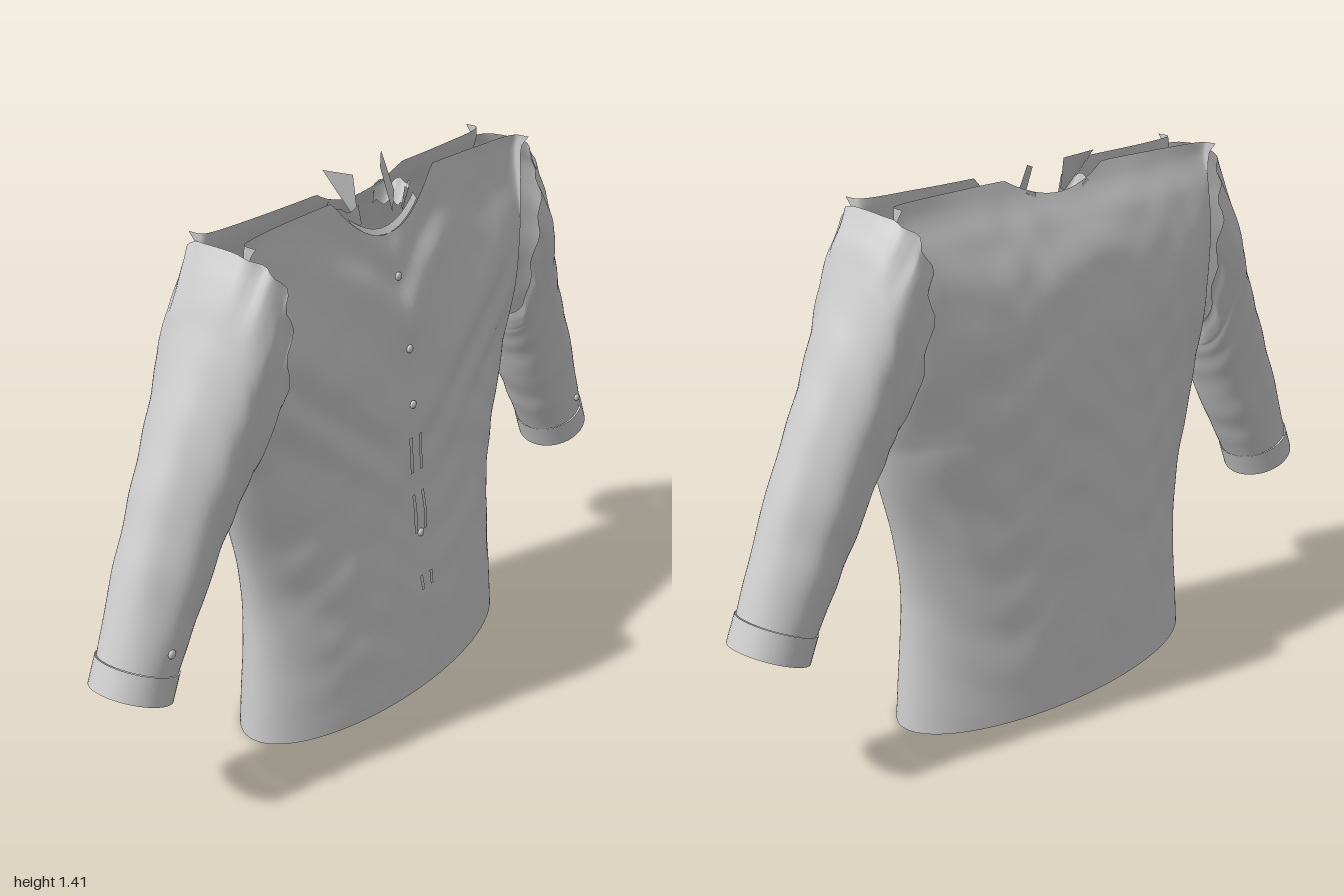
import * as THREE from 'three';

const cloth = new THREE.MeshStandardMaterial({ color: 0xcccccc, side: THREE.DoubleSide });
cloth.name = 'pale grey cloth';

// Smooth curve through [position, value] pairs
function track(p, t) {
  const n = p.length - 1;
  let i = 0;
  while (i < n - 1 && t > p[i + 1][0]) i++;
  const slope = k => {
    const a = p[Math.max(0, k - 1)], b = p[Math.min(n, k + 1)];
    return (b[1] - a[1]) / (b[0] - a[0]);
  };
  const h = p[i + 1][0] - p[i][0], s = THREE.MathUtils.clamp((t - p[i][0]) / h, 0, 1);
  const e = s * s * (3 - 2 * s);
  return p[i][1] * (1 - e) + p[i + 1][1] * e
    + h * s * (1 - s) * ((1 - s) * slope(i) - s * slope(i + 1));
}

// Surface from fn(u, v) -> [x, y, z]; closed wraps around in u
function surface(name, nu, nv, fn, closed = false) {
  const pos = [], idx = [], cols = closed ? nu : nu + 1;
  for (let j = 0; j <= nv; j++)
    for (let i = 0; i < cols; i++) pos.push(...fn(i / nu, j / nv));
  for (let j = 0; j < nv; j++)
    for (let i = 0; i < nu; i++) {
      const a = j * cols + i, b = j * cols + (i + 1) % cols;
      idx.push(a, b, a + cols, b, b + cols, a + cols);
    }
  const g = new THREE.BufferGeometry();
  g.setAttribute('position', new THREE.Float32BufferAttribute(pos, 3));
  g.setIndex(idx);
  g.computeVertexNormals();
  const m = new THREE.Mesh(g, cloth);
  m.name = name;
  return m;
}

// Soft irregular creases
const crumple = (x, y, k) =>
  Math.sin(x * 9 + y * 17 + k + 2.5 * Math.sin(y * 7 + x * 6)) * 0.5 +
  Math.sin(x * 23 - y * 29 + k * 2 + 2 * Math.sin(x * 11 + y * 5)) * 0.3 +
  Math.sin(x * 15 + y * 47 + 3 * Math.sin(x * 13 + k)) * 0.25;

const WIDTH = [[0, 0.5], [0.33, 0.48], [0.5, 0.502], [0.8, 0.573], [1.0, 0.54], [1.2, 0.535], [1.37, 0.543]];
const FRONT = [[0, 0.203], [0.2, 0.19], [0.35, 0.172], [0.5, 0.152], [0.8, 0.13], [1.0, 0.115], [1.15, 0.082], [1.25, 0.052], [1.37, 0.033]];
const BACK = [[0, 0.206], [0.3, 0.192], [0.6, 0.18], [1.0, 0.165], [1.15, 0.138], [1.25, 0.095], [1.32, 0.055], [1.37, 0.035]];
const EDGE = [[0, 0], [0.7, 0], [0.78, 0], [0.95, 0.07], [1.1, 0.09], [1.25, 0.085], [1.34, 0.08], [1.37, 0.1]];

// Depth of a panel: its centre profile bowed towards the side edge
function bowedZ(profile, u, y) {
  const e = Math.max(0, track(EDGE, y));
  const power = 0.5 - 0.36 * THREE.MathUtils.smoothstep(y, 0.9, 1.37);
  return e + (track(profile, y) - e) * Math.pow(Math.max(0, 1 - u * u), power);
}

function frontZ(x, y) {
  const u = Math.min(1, Math.abs(x) / track(WIDTH, y));
  const vMask = THREE.MathUtils.smoothstep(y, 0.55, 0.85) * (1 - THREE.MathUtils.smoothstep(y, 1.15, 1.35));
  const q = y - 0.85 * Math.abs(x);
  const folds = Math.sin(q * 27 + 1.2 * Math.sin(q * 11)) * 0.006 * vMask;
  const creases = crumple(x, y, 1) * 0.005 * (1 - vMask * 0.6) * Math.min(1, y * 4);
  const calm = 1 - 0.7 * THREE.MathUtils.smoothstep(y, 1.2, 1.35);
  return bowedZ(FRONT, u, y) + (folds + creases) * Math.min(1, (1 - u) * 5) * calm;
}

function backZ(x, y) {
  const u = Math.min(1, Math.abs(x) / track(WIDTH, y));
  const creases = crumple(x, y * 0.8 - x * 0.35, 4) * 0.005 * Math.min(1, y * 4) * Math.min(1, (1 - u) * 5);
  const calm = 1 - 0.7 * THREE.MathUtils.smoothstep(y, 1.2, 1.35);
  return -(bowedZ(BACK, u, y) + creases * calm);
}

// Body panel with a neck scoop in its straight shoulder edge
function panel(name, zAt, dir, neckWidth, neckDepth) {
  return surface(name, 90, 110, (a, v) => {
    const u = Math.sin((a - 0.5) * Math.PI) * dir;
    const n = Math.min(1, Math.abs(u * 0.543) / neckWidth);
    const y = v * (1.37 - neckDepth * (1 - n * n));
    const x = u * track(WIDTH, y);
    return [x, y, zAt(x, y)];
  });
}

// Sleeve sections: outer x, y, inner x, y, half depth
const SLEEVE = [
  [0.557, 1.355, 0.56, 0.85, 0.16],
  [0.603, 1.275, 0.578, 0.8, 0.16],
  [0.65, 1.17, 0.59, 0.77, 0.146],
  [0.73, 1.01, 0.625, 0.7, 0.13],
  [0.82, 0.83, 0.675, 0.6, 0.116],
  [0.9, 0.645, 0.735, 0.49, 0.106],
  [0.967, 0.475, 0.79, 0.395, 0.098],
];

function sleeve(s) {
  const n = SLEEVE.length - 1;
  return surface('sleeve', 64, 72, (a, v) => {
    const t = v * n, angle = a * Math.PI * 2 * s;
    const [ox, oy, ix, iy, d] = [0, 1, 2, 3, 4].map(k => track(SLEEVE.map((r, i) => [i, r[k]]), t));
    const c = Math.cos(angle), q = Math.sin(angle);
    // Lengthwise folds fade out at the cuff; the armhole edge is squarer and puckered inward
    const fade = Math.min(1, (1 - v) * 5);
    const fold = 1 + fade * (0.035 * Math.sin(angle * 5 * s + v * 3) + 0.03 * crumple(a * 0.3 * Math.sin(a * Math.PI), v, s + 2));
    const cap = Math.max(0, 1 - t / 1.6), upper = Math.max(0, 1 - t / 3);
    const pucker = cap * (0.055 * q * q + 0.012 * Math.sin(angle * 13) * Math.abs(q));
    const depth = Math.sign(q) * Math.pow(Math.abs(q), 1 - 0.3 * upper);
    // Fullness sits high on the shoulder
    const lift = 0.3 * upper * q * q;
    const x = (ox + ix) / 2 + (ox - ix) / 2 * c * (1 + (fold - 1) * 0.5) - pucker;
    const y = (oy + iy) / 2 + (oy - iy) / 2 * (c * (1 + (fold - 1) * 0.3) + lift);
    return [s * x, y, d * depth * fold + 0.006 * upper - 0.005 * v];
  }, true);
}

function cuff(s) {
  return surface('cuff', 48, 3, (a, v) => {
    const angle = a * Math.PI * 2 * s, c = Math.cos(angle);
    const x = 0.879 + 0.028 * v + 0.092 * c, y = 0.436 - 0.066 * v + 0.04 * c;
    return [s * x, y, 0.102 * Math.sin(angle) - 0.005];
  }, true);
}

function button(name, x, y, z, r) {
  const m = new THREE.Mesh(new THREE.SphereGeometry(r, 14, 10), cloth);
  m.name = name;
  m.scale.z = 0.6;
  m.position.set(x, y, z);
  return m;
}

// Four-cornered scrap of cloth
const scrap = (name, p) => surface(name, 1, 1, (u, v) => p[v * 2 + u]);

export function createModel() {
  const g = new THREE.Group();
  g.name = 'shirt';
  g.add(panel('frontPanel', frontZ, 1, 0.2, 0.125));
  g.add(panel('backPanel', backZ, -1, 0.17, 0.05));

  for (const s of [1, -1]) {
    g.add(sleeve(s), cuff(s), button('cuffButton', s * 0.87, 0.495, 0.1, 0.011));
    // Broken, flared collar band inside the neck
    g.add(surface('collarBand', 12, 2, (u, v) => {
      const a = (-0.42 + 0.8 * u) * Math.PI, r = 0.055 + 0.035 * v;
      return [s * (0.06 + r * Math.cos(a)), 1.28 + 0.05 * v + 0.008 * Math.sin(u * 20), 0.045 * Math.sin(a) - 0.012];
    }));
    // Placket folds beside the buttons
    for (const [y0, y1] of [[0.45, 0.56], [0.62, 0.72], [0.29, 0.33]])
      g.add(surface('placketFold', 1, 8, (u, v) => {
        const y = y0 + (y1 - y0) * v, x = s * 0.02 + 0.006 * (2 * u - 1);
        return [x, y, frontZ(x, y) + 0.004];
      }));
  }

  // Loose collar tabs standing above the neck
  g.add(scrap('collarTab', [[-0.085, 1.3, 0.01], [-0.06, 1.31, 0], [-0.11, 1.41, -0.065], [-0.05, 1.392, -0.02]]));
  g.add(scrap('collarTab', [[0.07, 1.27, 0.01], [0.09, 1.32, 0], [0.058, 1.385, -0.02], [0.12, 1.405, -0.065]]));

  // Front neck edging
  g.add(surface('neckEdging', 24, 1, (u, v) => {
    const x = (u - 0.5) * 0.26, y = 1.245 + 0.125 * (x / 0.2) ** 2;
    return [x, y + 0.014 * v, 0.05 - 0.012 * v - 0.6 * x * x];
  }));

  for (const y of [1.14, 0.955, 0.805, 0.445])
    g.add(button('frontButton', 0, y, frontZ(0, y) + 0.003, 0.011));
  return g;
}
